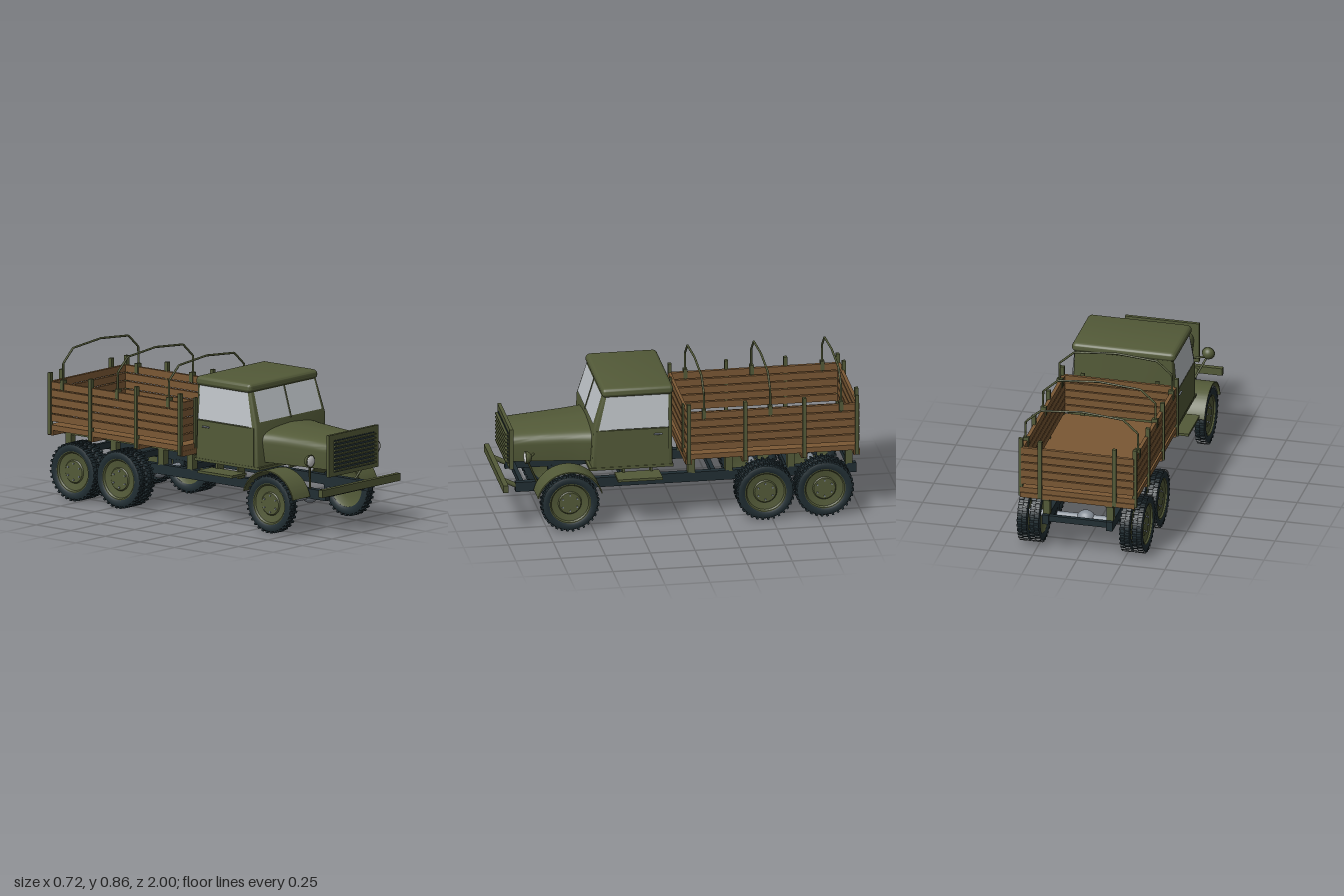
import * as THREE from 'three';
import { toCreasedNormals } from 'three/addons/utils/BufferGeometryUtils.js';
import { RoundedBoxGeometry } from 'three/addons/geometries/RoundedBoxGeometry.js';

const material = (name, color, side = THREE.FrontSide) => {
  const m = new THREE.MeshStandardMaterial({ color, side });
  m.name = name;
  return m;
};
const V = (x, y, z) => new THREE.Vector3(x, y, z);

export function createModel() {
  const green = material('olive green', 0x535a38);
  const wood = material('brown wood', 0x7a5834);
  const dark = material('dark slate', 0x212e33);
  const metal = material('grey metal', 0x848c95);
  const glass = material('window glass', 0xbfc4c8, THREE.DoubleSide);
  const lens = material('lamp lens', 0xd6d6d6);

  const truck = new THREE.Group();
  truck.name = 'truck';

  const add = (name, geo, mat, parent = truck) => {
    const m = new THREE.Mesh(geo, mat);
    m.name = name;
    parent.add(m);
    return m;
  };
  // Box given by its limits on each axis
  const box = (name, mat, [x0, x1], [y0, y1], [z0, z1], parent = truck) => {
    const m = add(name, new THREE.BoxGeometry(x1 - x0, y1 - y0, z1 - z0), mat, parent);
    m.position.set((x0 + x1) / 2, (y0 + y1) / 2, (z0 + z1) / 2);
    return m;
  };
  // The same box on both sides
  const boxPair = (name, mat, [x0, x1], y, z) => {
    box(name, mat, [x0, x1], y, z);
    box(name, mat, [-x1, -x0], y, z);
  };
  // Round rod between two points
  const rod = (name, mat, a, b, r, parent = truck) => {
    const m = add(name, new THREE.CylinderGeometry(r, r, a.distanceTo(b), 10), mat, parent);
    m.position.copy(a).lerp(b, 0.5);
    m.quaternion.setFromUnitVectors(V(0, 1, 0), b.clone().sub(a).normalize());
    return m;
  };
  // Flat four-cornered pane
  const pane = (name, mat, pts) => {
    const g = new THREE.BufferGeometry().setFromPoints(pts);
    g.setIndex([0, 1, 2, 0, 2, 3]);
    g.computeVertexNormals();
    add(name, g, mat);
  };
  const bend = (geo, rule) => {
    const p = geo.attributes.position;
    const v = V(0, 0, 0);
    for (let i = 0; i < p.count; i++) {
      v.fromBufferAttribute(p, i);
      rule(v);
      p.setXYZ(i, v.x, v.y, v.z);
    }
    return toCreasedNormals(geo, 0.6);
  };

  // Chassis, axles and spring blocks
  const axles = [0.63, -0.46, -0.79];
  boxPair('frameRail', dark, [0.163, 0.2], [0.195, 0.25], [-0.99, 0.91]);
  for (const z of [0.87, 0.3, -0.2, -0.62, -0.96]) box('frameCrossmember', dark, [-0.165, 0.165], [0.205, 0.24], [z - 0.012, z + 0.012]);
  for (const z of axles) {
    rod('axle', metal, V(-0.25, 0.165, z), V(0.25, 0.165, z), 0.02);
    const diff = add('differential', new THREE.SphereGeometry(0.043, 24, 16), metal);
    diff.scale.x = 1.18;
    diff.position.set(0, 0.165, z);
    boxPair('springBlock', dark, [0.162, 0.2], [0.168, 0.2], [z - 0.04, z + 0.04]);
  }

  // Wheels: tyre, lugs, dished disc and bolts, axis along x
  const R = 0.155;
  const tyreProfile = [[0.112, -0.022], [0.125, -0.029], [0.143, -0.029], [0.153, -0.025], [R, -0.018],
    [R, 0.018], [0.153, 0.025], [0.143, 0.029], [0.125, 0.029], [0.112, 0.022], [0.112, -0.022]];
  const tyreGeo = toCreasedNormals(new THREE.LatheGeometry(tyreProfile.map(([r, h]) => new THREE.Vector2(r, h)), 40).rotateZ(-Math.PI / 2), 0.7);
  const discProfile = [[0, -0.006], [0.06, -0.006], [0.1, -0.014], [0.114, -0.022], [0.118, -0.022],
    [0.118, 0.024], [0.111, 0.024], [0.104, 0.015], [0.066, 0.009], [0.06, 0.015], [0, 0.015]];
  const discGeo = toCreasedNormals(new THREE.LatheGeometry(discProfile.map(([r, h]) => new THREE.Vector2(r, h)), 32).rotateZ(-Math.PI / 2), 0.5);
  const lugGeo = new THREE.BoxGeometry(0.028, 0.012, 0.012);
  const boltGeo = new THREE.CylinderGeometry(0.005, 0.005, 0.01, 6).rotateZ(Math.PI / 2);
  const wheel = (x, z, side) => {
    const g = new THREE.Group();
    g.name = 'wheel';
    add('tyre', tyreGeo, dark, g);
    add('wheelDisc', discGeo, green, g);
    const lugs = 32;
    for (let i = 0; i < lugs * 2; i++) {
      const a = (i / lugs) * Math.PI;
      const lug = add('treadLug', lugGeo, dark, g);
      lug.position.set(i % 2 ? 0.0135 : -0.0135, Math.cos(a) * 0.157, Math.sin(a) * 0.157);
      lug.rotation.x = a;
    }
    for (let i = 0; i < 6; i++) {
      const a = (i / 6) * Math.PI * 2;
      add('wheelBolt', boltGeo, metal, g).position.set(0.016, Math.cos(a) * 0.046, Math.sin(a) * 0.046);
    }
    g.position.set(x * side, 0.165, z);
    if (side < 0) g.rotation.y = Math.PI;
    truck.add(g);
  };
  for (const s of [1, -1]) {
    axles.forEach((z, i) => {
      wheel(0.326, z, s);
      if (i) wheel(0.256, z, s);
      rod('hub', metal, V(s * 0.24, 0.165, z), V(s * 0.325, 0.165, z), 0.02);
    });
  }

  // Cab: side outline pushed across, narrowing above the waist
  const outline = new THREE.Shape([[0.05, 0.335], [0.5, 0.335], [0.49, 0.575], [0.43, 0.775], [0.05, 0.775]]
    .map(([z, y]) => new THREE.Vector2(z, y)));
  const cabGeo = new THREE.ExtrudeGeometry(outline, {
    depth: 0.57, bevelEnabled: true, bevelSize: 0.01, bevelThickness: 0.01, bevelOffset: -0.01, bevelSegments: 3,
  }).translate(0, 0, -0.285).rotateY(-Math.PI / 2);
  add('cab', bend(cabGeo, (v) => { v.x *= 1 - 0.06 * Math.max(0, (v.y - 0.56) / 0.21); }), green);
  const roofGeo = new RoundedBoxGeometry(0.59, 0.056, 0.4, 5, 0.026);
  const roof = add('roof', bend(roofGeo, (v) => { if (v.y > 0) v.y += 0.006 * (1 - (v.x / 0.3) ** 2) - 0.003; }), green);
  roof.position.set(0, 0.777, 0.243);
  box('cabSill', green, [-0.298, 0.298], [0.33, 0.345], [0.045, 0.515]);

  // Windows
  const shieldZ = (y) => 0.49 - (y - 0.575) * 0.3 + 0.004;
  for (const s of [1, -1]) {
    pane('windscreen', glass, [V(s * 0.004, 0.592, shieldZ(0.592)), V(s * 0.263, 0.592, shieldZ(0.592)),
      V(s * 0.255, 0.755, shieldZ(0.755)), V(s * 0.004, 0.755, shieldZ(0.755))]);
    pane('sideWindow', glass, [V(s * 0.299, 0.565, 0.463), V(s * 0.299, 0.565, 0.072),
      V(s * 0.282, 0.753, 0.072), V(s * 0.282, 0.753, 0.418)]);
    box('door', green, s > 0 ? [0.29, 0.299] : [-0.299, -0.29], [0.35, 0.56], [0.07, 0.475]);
    rod('doorHandle', metal, V(s * 0.304, 0.528, 0.11), V(s * 0.304, 0.528, 0.155), 0.005);
  }
  rod('windscreenDivider', green, V(0, 0.585, shieldZ(0.585)), V(0, 0.76, shieldZ(0.76)), 0.005);

  // Bonnet: rounded section that widens towards the cab
  const section = new THREE.Shape();
  section.moveTo(-0.17, 0.365).lineTo(0.17, 0.365).lineTo(0.18, 0.46);
  section.bezierCurveTo(0.18, 0.51, 0.15, 0.525, 0, 0.535).bezierCurveTo(-0.15, 0.525, -0.18, 0.51, -0.18, 0.46);
  const bonnetGeo = new THREE.ExtrudeGeometry(section, { depth: 0.45, steps: 8, bevelEnabled: false, curveSegments: 14 });
  add('bonnet', bend(bonnetGeo, (v) => {
    const t = 1 - v.z / 0.45;
    v.x *= 1 + 0.3 * t + 0.08 * t ** 8;
    v.y += (v.y - 0.365) * 0.14 * t;
    v.z += 0.485;
  }), green);

  // Radiator grille
  box('grilleFrame', green, [-0.21, 0.21], [0.333, 0.567], [0.925, 0.945]);
  box('grilleOpening', dark, [-0.17, 0.17], [0.355, 0.535], [0.944, 0.949]);
  for (let i = 0; i < 8; i++) {
    const y = 0.366 + i * 0.0226;
    box('grilleSlat', green, [-0.172, 0.172], [y - 0.004, y + 0.004], [0.945, 0.963]);
  }

  // Bumper, headlamps, wings and steps
  box('bumper', green, [-0.33, 0.33], [0.243, 0.285], [0.972, 1]);
  const wing = new THREE.Shape();
  wing.absarc(0, 0, 0.188, 0.24, Math.PI - 0.3, false);
  wing.absarc(0, 0, 0.181, Math.PI - 0.3, 0.24, true);
  const wingGeo = toCreasedNormals(new THREE.ExtrudeGeometry(wing, { depth: 0.145, bevelEnabled: false, curveSegments: 28 })
    .rotateY(-Math.PI / 2), 0.5);
  for (const s of [1, -1]) {
    rod('bumperBracket', green, V(s * 0.18, 0.225, 0.9), V(s * 0.18, 0.262, 0.975), 0.014);
    const shell = add('headlampShell', new THREE.SphereGeometry(0.035, 24, 10, 0, Math.PI * 2, 0, Math.PI / 2).rotateX(-Math.PI / 2), green);
    shell.position.set(s * 0.278, 0.425, 0.868);
    const rim = add('headlampRim', new THREE.TorusGeometry(0.033, 0.004, 8, 28), green);
    rim.position.copy(shell.position);
    const bulge = add('headlampLens', new THREE.SphereGeometry(0.033, 24, 8, 0, Math.PI * 2, 0, Math.PI / 2).rotateX(Math.PI / 2), lens);
    bulge.scale.z = 0.3;
    bulge.position.copy(shell.position);
    rod('headlampArm', green, V(s * 0.17, 0.408, 0.8), V(s * 0.265, 0.41, 0.85), 0.006);
    rod('headlampStrut', green, V(s * 0.19, 0.245, 0.79), V(s * 0.27, 0.4, 0.855), 0.006);
    add('frontWing', wingGeo, green).position.set(s > 0 ? 0.36 : -0.215, 0.165, 0.63);
  }
  boxPair('step', green, [0.23, 0.355], [0.276, 0.29], [0.115, 0.365]);
  for (const z of [0.16, 0.315]) boxPair('stepBracket', green, [0.19, 0.245], [0.25, 0.335], [z - 0.006, z + 0.006]);

  // Load bed: floor, bearers and mounts
  box('bedFloor', wood, [-0.325, 0.325], [0.374, 0.404], [-0.985, -0.02]);
  boxPair('bedBearer', green, [0.16, 0.2], [0.335, 0.374], [-0.985, -0.03]);
  const stakes = [-0.035, -0.35, -0.68, -0.973];
  for (const z of stakes) box('bedCrossSill', wood, [-0.325, 0.325], [0.345, 0.374], [z - 0.018, z + 0.018]);
  for (const z of [-0.07, -0.28, -0.625, -0.95]) boxPair('bedMount', green, [0.16, 0.2], [0.245, 0.34], [z - 0.02, z + 0.02]);

  // Plank sides, headboard and tailgate
  for (let i = 0; i < 5; i++) {
    const y = [0.425 + i * 0.0455, 0.425 + i * 0.0455 + 0.039];
    boxPair('sidePlank', wood, [0.306, 0.326], y, [-0.98, -0.025]);
    box('headboardPlank', wood, [-0.306, 0.306], y, [-0.042, -0.025]);
    box('tailgatePlank', wood, [-0.32, 0.32], y, [-0.987, -0.968]);
  }
  for (const z of stakes) boxPair('sideStake', green, [0.312, 0.336], [0.35, 0.697], [z - 0.01, z + 0.01]);
  boxPair('tailgateStake', green, [0.2, 0.222], [0.35, 0.697], [-0.998, -0.978]);
  boxPair('headboardStake', green, [0.2, 0.222], [0.38, 0.66], [-0.027, -0.016]);

  // Canvas hoops with their sockets
  const bow = [[0.319, 0.6], [0.32, 0.7], [0.318, 0.758], [0.235, 0.832], [0, 0.852]];
  const path = new THREE.CurvePath();
  const points = [...bow, ...bow.slice(0, -1).reverse().map(([x, y]) => [-x, y])].map(([x, y]) => V(x, y, 0));
  for (let i = 1; i < points.length; i++) path.add(new THREE.LineCurve3(points[i - 1], points[i]));
  const hoopGeo = new THREE.TubeGeometry(path, 96, 0.006, 8);
  for (const z of [-0.12, -0.49, -0.885]) {
    add('canvasHoop', hoopGeo, green).position.z = z;
    boxPair('hoopSocket', green, [0.3, 0.332], [0.61, 0.665], [z - 0.011, z + 0.011]);
  }
  return truck;
}
